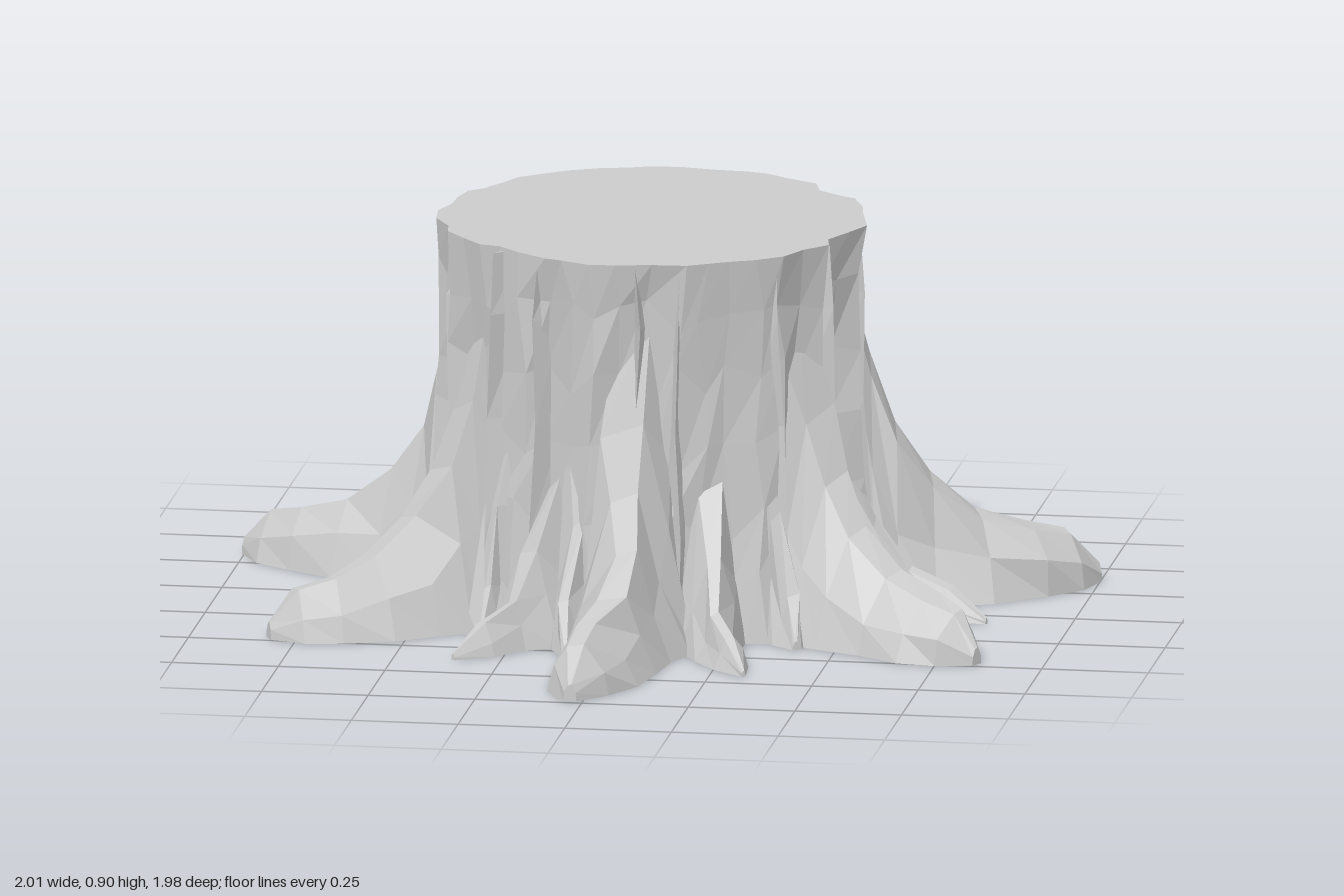
import * as THREE from 'three';

const material = new THREE.MeshStandardMaterial({ color: 0xcccccc, flatShading: true });
const HEIGHT = 0.905, CENTER_Z = -0.07;

// small seeded generator, returns -1..1
let seed = 11;
function rnd() {
  seed = (seed * 16807) % 2147483647;
  return (seed / 2147483647) * 2 - 1;
}

// closed solid through rings of equal point count
function loft(name, rings) {
  const n = rings[0].length, pos = [], index = [];
  rings.forEach(ring => ring.forEach(p => pos.push(p.x, p.y, p.z)));
  for (let r = 0; r < rings.length - 1; r++) {
    for (let i = 0; i < n; i++) {
      const a = r * n + i, b = r * n + (i + 1) % n;
      index.push(a, b, b + n, a, b + n, a + n);
    }
  }
  [0, rings.length - 1].forEach((r, end) => {
    const c = new THREE.Vector3();
    rings[r].forEach(p => c.addScaledVector(p, 1 / n));
    const k = pos.length / 3;
    pos.push(c.x, c.y, c.z);
    for (let i = 0; i < n; i++) {
      const a = r * n + i, b = r * n + (i + 1) % n;
      if (end) index.push(k, a, b); else index.push(k, b, a);
    }
  });
  let geometry = new THREE.BufferGeometry();
  geometry.setAttribute('position', new THREE.Float32BufferAttribute(pos, 3));
  geometry.setIndex(index);
  geometry = geometry.toNonIndexed();
  geometry.computeVertexNormals();
  const mesh = new THREE.Mesh(geometry, material);
  mesh.name = name;
  return mesh;
}

// trunk: flared column with bark folds and a few notches that reach the rim
function trunk() {
  const columns = 46, notches = [9, 17, 41, 42];
  const folds = Array.from({ length: columns }, (_, i) => (i % 3 === 1 ? -0.035 : 0) + 0.02 * rnd());
  const levels = [ // height, radius, fold strength
    [0, 0.54, 1.2], [0.12, 0.515, 1.3], [0.28, 0.495, 1.2], [0.45, 0.484, 1],
    [0.62, 0.482, 0.9], [0.78, 0.487, 0.65], [HEIGHT, 0.495, 0.3],
  ];
  const rings = levels.map(([y, radius, strength], level) => folds.map((fold, i) => {
    const inner = level > 0 && level < levels.length - 1;
    const a = (i + 0.3 * rnd()) / columns * Math.PI * 2;
    const r = radius + fold * strength + 0.006 * rnd() - (notches.includes(i) ? 0.03 : 0);
    return new THREE.Vector3(Math.sin(a) * r, y + (inner ? 0.05 * rnd() : 0), CENTER_Z + Math.cos(a) * r);
  }));
  return loft('trunk', rings);
}

// root: ridged sections [t, height, half width, shoulder] swept along a ground path
function root(name, path, sections, rough, tall = 1) {
  const curve = new THREE.CatmullRomCurve3(path.map(([x, z]) => new THREE.Vector3(x, 0, z)));
  const rings = sections.map(([t, h, w, shoulder]) => {
    const p = curve.getPoint(t), d = curve.getTangent(t);
    const lean = rough * rnd();
    const outline = [
      [1, 0], [shoulder, 0.5], [0.25 + lean, 1], [-0.3 + lean, 0.93], [-shoulder, 0.48], [-1, 0],
    ];
    return new Array(...outline).map(([u, v], i) => {
      const side = w * (u + (t < 1 ? rough * 0.5 * rnd() : 0));
      const y = v * h * tall * (1 + (i === 1 || i === 4 ? rough * rnd() : 0));
      return new THREE.Vector3(p.x + d.z * side, y, p.z - d.x * side);
    });
  });
  return loft(name, rings);
}

const MAIN = [
  [0, 0.8, 0.15, 0.6], [0.12, 0.53, 0.15, 0.6], [0.21, 0.38, 0.145, 0.6], [0.34, 0.265, 0.13, 0.65],
  [0.52, 0.178, 0.118, 0.72], [0.72, 0.142, 0.105, 0.82], [0.88, 0.118, 0.075, 0.88], [1, 0.04, 0.016, 0.9],
];
const SIDE = [
  [0, 0.38, 0.1, 0.6], [0.25, 0.22, 0.08, 0.6], [0.5, 0.115, 0.055, 0.65],
  [0.75, 0.075, 0.038, 0.8], [1, 0.015, 0.005, 0.9],
];
const SPUR = [[0, 0.56, 0.075, 0.55], [0.4, 0.3, 0.06, 0.55], [0.75, 0.12, 0.045, 0.6], [1, 0.02, 0.012, 0.8]];
const STRIP = [ // height, radius, half width of a bark strip
  [0.02, 0.51, 0.05], [0.25, 0.49, 0.05], [0.5, 0.472, 0.04], [0.75, 0.474, 0.028], [0.895, 0.465, 0.012],
];

// bark strip: three-sided sliver standing proud of the trunk
function barkStrip(angle) {
  const twist = 0.07 * rnd(), proud = 0.022 + 0.008 * rnd();
  const rings = STRIP.map(([y, r, w]) => [[-w, -0.06], [0.3 * w * rnd(), proud], [w, -0.06]].map(([u, out]) => {
    const a = angle + twist * (y - 0.4) + u / r;
    return new THREE.Vector3(Math.sin(a) * (r + out), y, CENTER_Z + Math.cos(a) * (r + out));
  }));
  return loft('barkStrip', rings);
}

export function createModel() {
  seed = 11;
  const stump = new THREE.Group();
  stump.name = 'treeStump';
  stump.add(trunk());

  // seven large roots: relative height, then base, bend and tip on the ground as [x, z]
  [
    [1, [0.03, 0.36], [0.01, 0.66], [-0.03, 0.985]],
    [1, [0.36, 0.16], [0.61, 0.34], [0.845, 0.48]],
    [1.08, [0.42, -0.14], [0.73, -0.22], [0.995, -0.39]],
    [1, [0.17, -0.46], [0.34, -0.73], [0.49, -0.985]],
    [0.97, [-0.21, -0.46], [-0.37, -0.71], [-0.53, -0.985]],
    [0.97, [-0.42, -0.12], [-0.71, -0.235], [-1, -0.35]],
    [1, [-0.36, 0.17], [-0.58, 0.355], [-0.815, 0.48]],
  ].forEach(([tall, ...path]) => stump.add(root('largeRoot', path, MAIN, 0.2, tall)));

  // seven thin roots between them
  [
    [[0.19, 0.36], [0.25, 0.53], [0.33, 0.685]],
    [[0.44, 0], [0.62, 0.01], [0.805, 0.08]],
    [[0.37, -0.38], [0.57, -0.475], [0.715, -0.41]],
    [[-0.01, -0.5], [0, -0.69], [-0.02, -0.895]],
    [[-0.37, -0.32], [-0.54, -0.4], [-0.72, -0.43]],
    [[-0.42, 0.06], [-0.57, 0.05], [-0.745, 0.02]],
    [[-0.17, 0.36], [-0.25, 0.48], [-0.36, 0.625]],
  ].forEach(path => stump.add(root('thinRoot', path, SIDE, 0.28)));

  // short spurs filling the hollows
  for (let i = 0; i < 14; i++) {
    const a = (i + 0.5 + 0.25 * rnd()) / 14 * Math.PI * 2;
    const at = (r, b) => [Math.sin(b) * r, CENTER_Z + Math.cos(b) * r];
    const end = 0.6 + 0.04 * rnd();
    stump.add(root('rootSpur', [at(0.43, a), at(0.52, a + 0.04 * rnd()), at(end, a + 0.08 * rnd())], SPUR, 0.3));
  }

  for (let i = 0; i < 17; i++) stump.add(barkStrip((i + 0.3 * rnd()) / 17 * Math.PI * 2));
  return stump;
}
